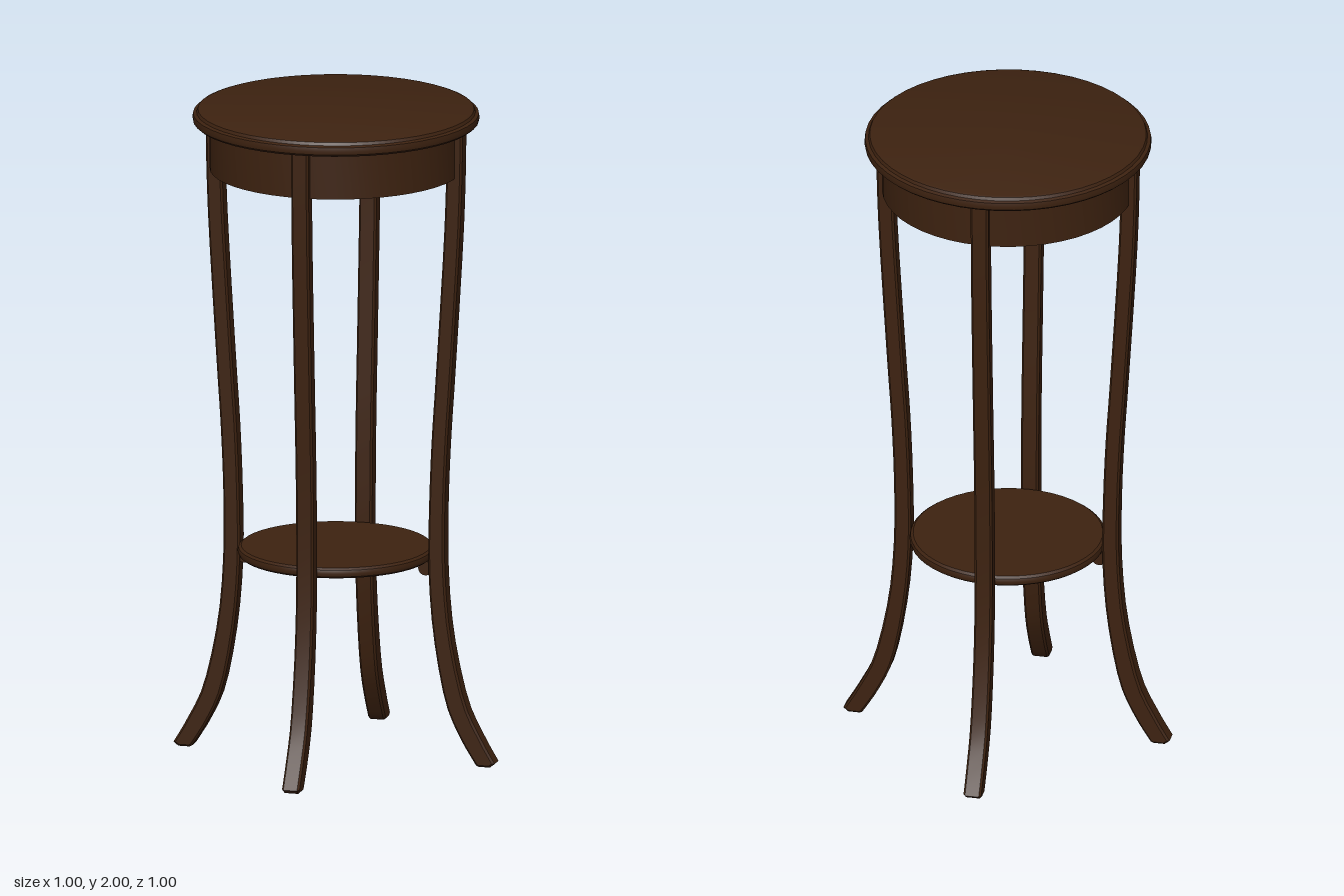
import * as THREE from 'three';
import { toCreasedNormals } from 'three/addons/utils/BufferGeometryUtils.js';

const wood = new THREE.MeshStandardMaterial({ color: 0x3d2210 });
wood.name = 'dark wood';

function addMesh(parent, name, geometry, crease = 0.6) {
  const mesh = new THREE.Mesh(toCreasedNormals(geometry, crease), wood);
  mesh.name = name;
  parent.add(mesh);
  return mesh;
}

// Solid of revolution from [radius, height] pairs, bottom to top
function turned(points, segments = 48) {
  return new THREE.LatheGeometry(points.map(([r, y]) => new THREE.Vector2(r, y)), segments);
}

// Side outline of a sabre leg, extruded across its width
function legGeometry() {
  const curve = (pts) => new THREE.SplineCurve(pts.map(([x, y]) => new THREE.Vector2(x, y))).getPoints(28);
  const outer = curve([[0.5, 0.012], [0.455, 0.09], [0.405, 0.2], [0.362, 0.4], [0.345, 0.6],
    [0.345, 0.8], [0.353, 1.0], [0.366, 1.2], [0.39, 1.6], [0.398, 1.81], [0.4, 1.958]]);
  const inner = curve([[0.352, 1.958], [0.349, 1.81], [0.341, 1.6], [0.317, 1.2], [0.304, 1.0],
    [0.296, 0.8], [0.294, 0.6], [0.309, 0.4], [0.345, 0.2], [0.39, 0.09], [0.442, 0.004]]);
  const width = 0.054, bevel = 0.006;
  const shape = new THREE.Shape([new THREE.Vector2(0.485, 0), ...outer, ...inner, new THREE.Vector2(0.45, 0)]);
  const geometry = new THREE.ExtrudeGeometry(shape, {
    depth: width - 2 * bevel, bevelEnabled: true, bevelThickness: bevel,
    bevelSize: bevel, bevelOffset: -bevel, bevelSegments: 1,
  });
  return geometry.translate(0, 0, -width / 2 + bevel);
}

export function createModel() {
  const table = new THREE.Group();
  table.name = 'plant stand';

  // Round top with a softened rim
  addMesh(table, 'tabletop', turned([[0, 1.955], [0.42, 1.955], [0.428, 1.962], [0.43, 1.972],
    [0.428, 1.984], [0.418, 1.988], [0.414, 1.997], [0.406, 2], [0, 2]]));

  // Drum-shaped apron below the top
  addMesh(table, 'apron', turned([[0, 1.812], [0.378, 1.812], [0.378, 1.956]]));

  // Lower shelf with a rounded edge
  addMesh(table, 'shelf', turned([[0, 0.618], [0.284, 0.618], [0.292, 0.624], [0.295, 0.634],
    [0.292, 0.644], [0.284, 0.65], [0, 0.65]]));

  // Four legs, each with a small block carrying the shelf
  const leg = legGeometry();
  for (let i = 0; i < 4; i++) {
    const side = new THREE.Group();
    side.name = 'legAssembly';
    side.rotation.y = i * Math.PI / 2;
    addMesh(side, 'leg', leg);
    const support = addMesh(side, 'shelfSupport', new THREE.CylinderGeometry(0.022, 0.022, 0.03, 16));
    support.rotation.x = Math.PI / 2;
    support.position.set(0.282, 0.6, 0);
    table.add(side);
  }
  return table;
}
